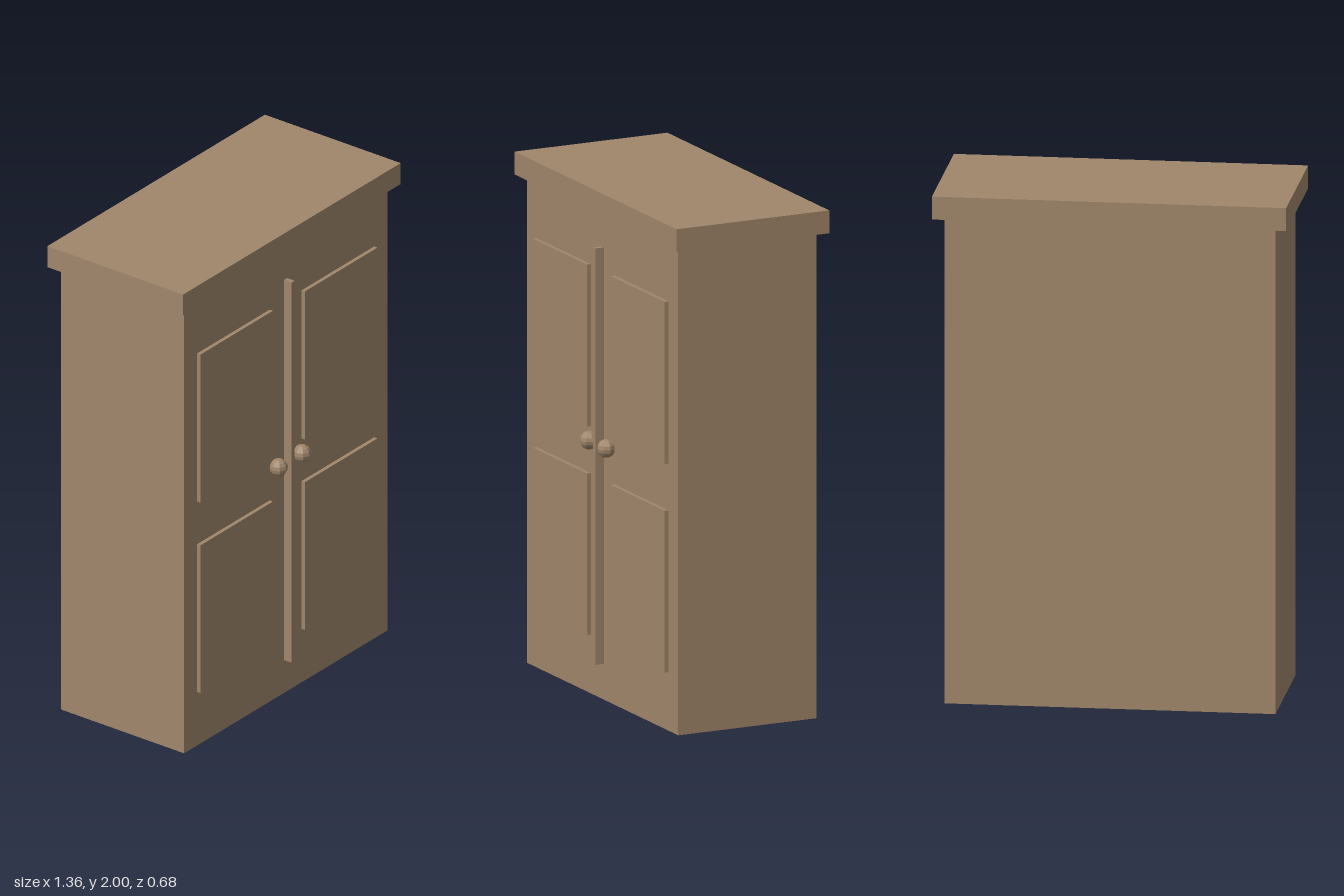
import * as THREE from 'three';

export function createModel() {
  const model = new THREE.Group();
  model.name = 'cupboard';
  const wood = new THREE.MeshStandardMaterial({ color: 0xa0866b });
  wood.name = 'wood';
  wood.flatShading = true;

  // Box given by its minimum and maximum corners
  function box(name, [x0, y0, z0], [x1, y1, z1]) {
    const mesh = new THREE.Mesh(new THREE.BoxGeometry(x1 - x0, y1 - y0, z1 - z0), wood);
    mesh.position.set((x0 + x1) / 2, (y0 + y1) / 2, (z0 + z1) / 2);
    mesh.name = name;
    model.add(mesh);
  }

  // Carcass and overhanging top
  box('cabinetBody', [-0.635, 0, -0.308], [0.635, 1.91, 0.282]);
  box('topBoard', [-0.68, 1.91, -0.34], [0.68, 2, 0.312]);

  // Strip between the doors
  box('centreStrip', [-0.009, 0.14, 0.27], [0.009, 1.775, 0.318]);

  // Raised door panels and knobs, mirrored left and right
  for (const side of [1, -1]) {
    const label = side > 0 ? 'left' : 'right';
    const xs = [0.1 * side, 0.553 * side].sort((a, b) => a - b);
    box(label + 'UpperPanel', [xs[0], 1.048, 0.27], [xs[1], 1.685, 0.298]);
    box(label + 'LowerPanel', [xs[0], 0.23, 0.27], [xs[1], 0.865, 0.298]);

    const knob = new THREE.Mesh(new THREE.SphereGeometry(0.036, 8, 8), wood);
    knob.position.set(0.073 * side, 1.003, 0.304);
    knob.name = label + 'Knob';
    model.add(knob);
  }

  return model;
}
